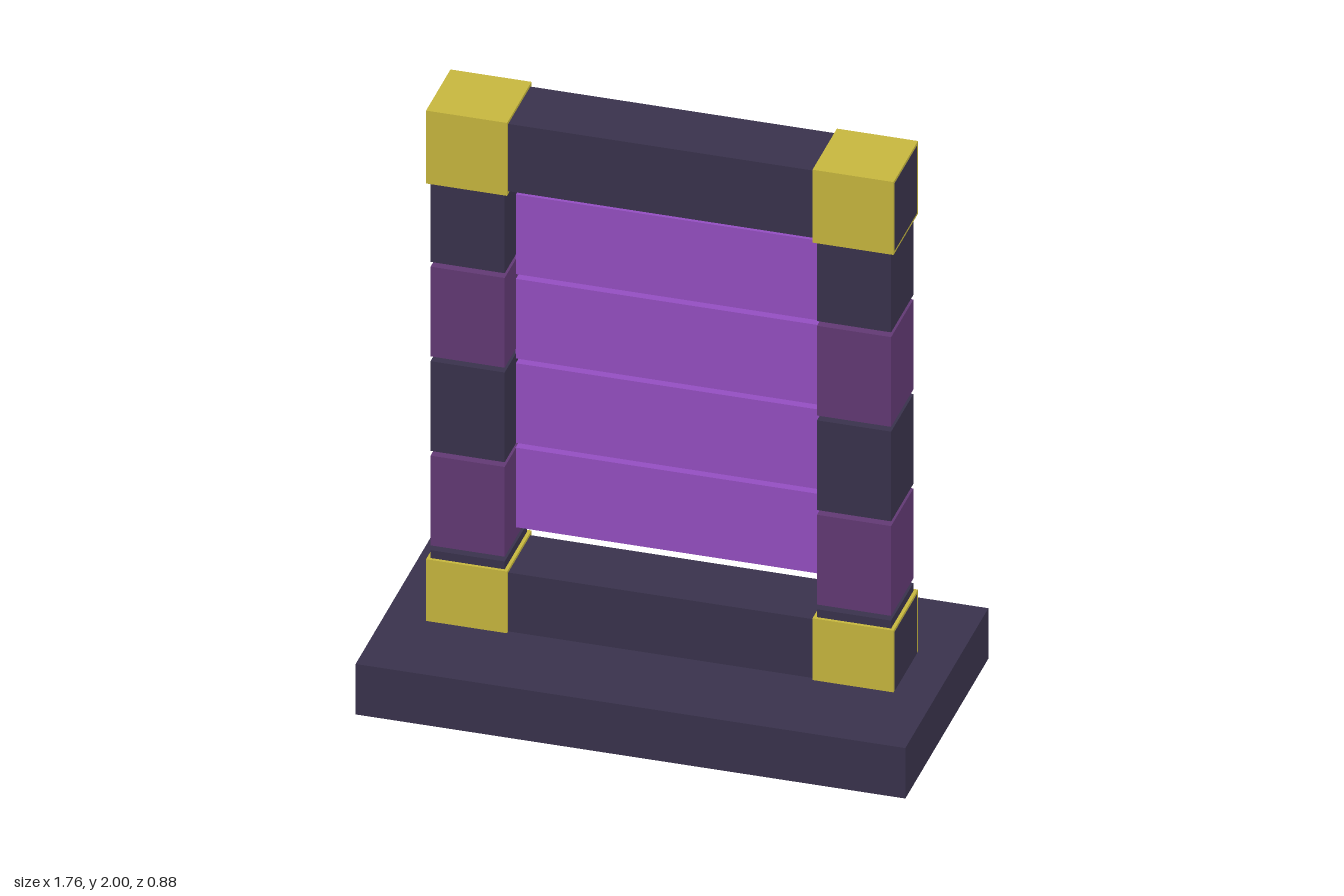
import * as THREE from 'three';

const mat = (color) => new THREE.MeshStandardMaterial({ color });

export function createModel() {
  const model = new THREE.Group();
  const dark = mat(0x3a334d);
  const plum = mat(0x633a75);
  const violet = mat(0x9650c4);
  const gold = mat(0xc9b93f);

  // Box given by its minimum and maximum on each axis
  function box(name, material, [x0, x1], [y0, y1], [z0, z1], parent = model) {
    const mesh = new THREE.Mesh(new THREE.BoxGeometry(x1 - x0, y1 - y0, z1 - z0), material);
    mesh.position.set((x0 + x1) / 2, (y0 + y1) / 2, (z0 + z1) / 2);
    mesh.name = name;
    parent.add(mesh);
  }

  // Plinth and the two cross beams, whose ends show at the sides of the caps
  box('base', dark, [-0.882, 0.882], [0, 0.18], [-0.442, 0.442]);
  box('bottomBeam', dark, [-0.751, 0.751], [0.15, 0.39], [-0.118, 0.118]);
  box('topBeam', dark, [-0.751, 0.751], [1.75, 1.99], [-0.118, 0.118]);

  // Four thin slats filling the frame
  for (let i = 0; i < 4; i++) {
    const y = 0.483 + i * 0.301;
    box('slat', violet, [-0.502, 0.502], [y, y + 0.284], [-0.03, 0]);
  }

  // Post on each side: stacked blocks, rear tabs and corner caps
  for (const side of [-1, 1]) {
    const post = new THREE.Group();
    post.name = side > 0 ? 'leftPost' : 'rightPost';
    post.position.x = side * 0.62;
    model.add(post);

    for (let i = 0; i < 5; i++) {
      const y = 0.108 + i * 0.337;
      box('postBlock', i % 2 ? plum : dark, [-0.119, 0.119], [y, y + 0.32], [-0.119, 0.119], post);
    }
    for (let i = 0; i < 3; i++) {
      const y = 0.428 + i * 0.4;
      box('rearTab', plum, [-0.02, 0.02], [y, y + 0.12], [-0.138, -0.108], post);
    }
    box('bottomCap', gold, [-0.13, 0.13], [0.14, 0.4], [-0.13, 0.13], post);
    box('topCap', gold, [-0.13, 0.13], [1.74, 2], [-0.13, 0.13], post);
  }
  return model;
}
